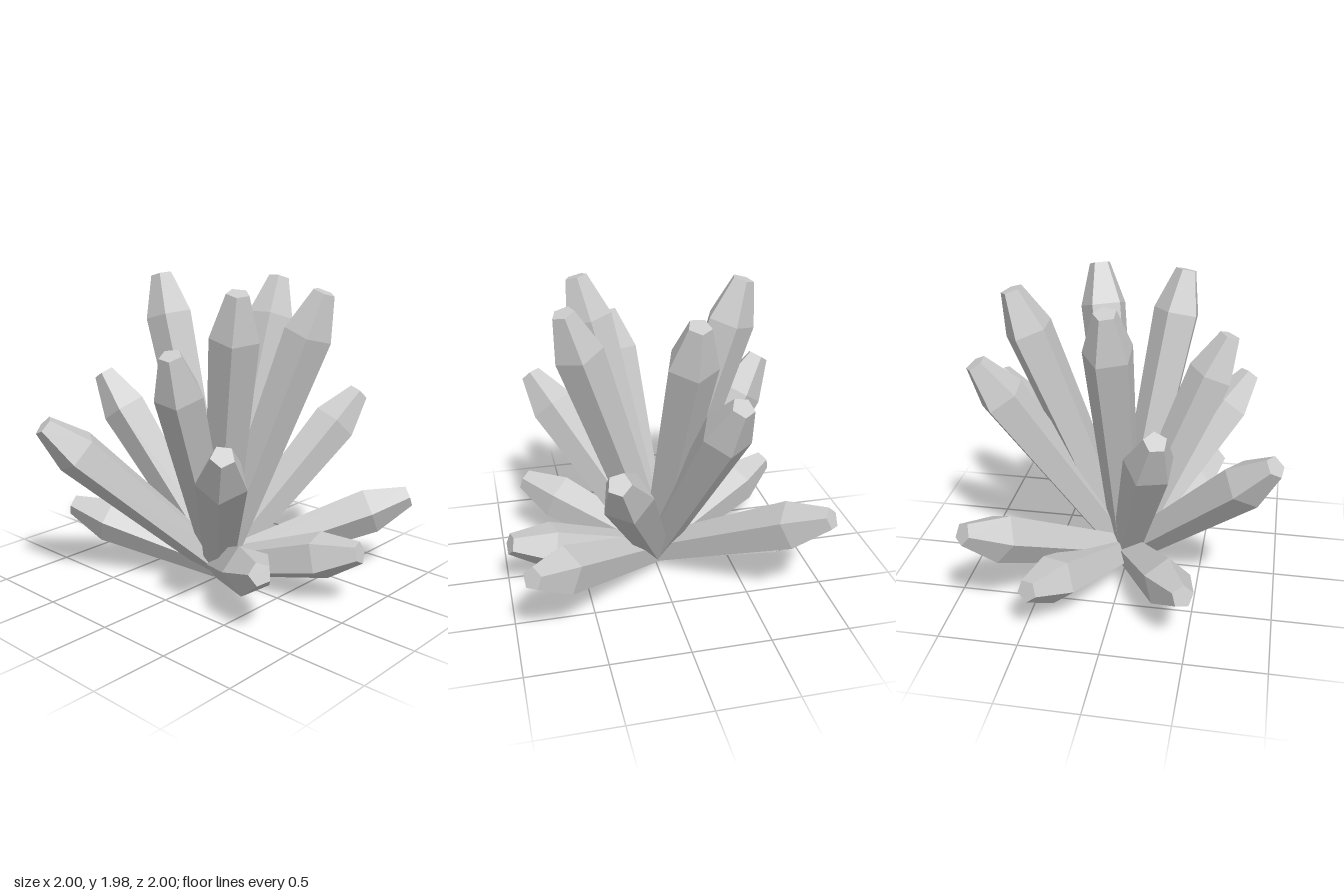
import * as THREE from 'three';

const SIDES = 5;
const TIP_LENGTH = 0.27;
const BASE = new THREE.Vector3(0, 0.1, 0);

// Tip centre of every crystal: x, y, z
const TIPS = {
  tallLeaning: [[-0.54, 1.97, -0.03], [-0.09, 1.93, -0.69], [0.43, 1.95, 0.31], [0.59, 1.92, -0.28]],
  upper: [[0.2, 1.61, 0.62], [-0.29, 1.52, -0.88], [-0.77, 1.33, 0.29]],
  middle: [[-0.57, 1.13, 0.95], [0.71, 1.15, 0.74], [0.41, 1.17, -0.95]],
  low: [
    [-0.9, 0.7, -0.82], [0.9, 0.57, -0.85], [-0.97, 0.39, -0.43],
    [-0.91, 0.42, 0.48], [0.81, 0.44, 0.54], [0.98, 0.39, -0.19],
  ],
};

// Five-sided crystal: narrow root, wide shoulder, blunt tapered tip
function crystalGeometry(length) {
  const profile = [
    [0, 0], [0.1, 0], [0.155, length - TIP_LENGTH], [0.07, length], [0, length],
  ].map(([r, y]) => new THREE.Vector2(r, y));
  const lathe = new THREE.LatheGeometry(profile, SIDES, Math.PI).toNonIndexed();
  lathe.computeVertexNormals();
  return lathe;
}

export function createModel() {
  const model = new THREE.Group();
  model.name = 'crystalCluster';
  const material = new THREE.MeshStandardMaterial({ color: 0xcccccc, flatShading: true });
  const up = new THREE.Vector3(0, 1, 0);

  for (const [tier, tips] of Object.entries(TIPS)) {
    const group = new THREE.Group();
    group.name = `${tier}Crystals`;
    tips.forEach((tip, i) => {
      const axis = new THREE.Vector3(...tip).sub(BASE);
      const crystal = new THREE.Mesh(crystalGeometry(axis.length()), material);
      crystal.name = `${tier}Crystal${i + 1}`;
      // Lean the upright crystal from the shared root toward its tip
      crystal.quaternion.setFromUnitVectors(up, axis.normalize());
      crystal.position.copy(BASE);
      group.add(crystal);
    });
    model.add(group);
  }
  return model;
}
